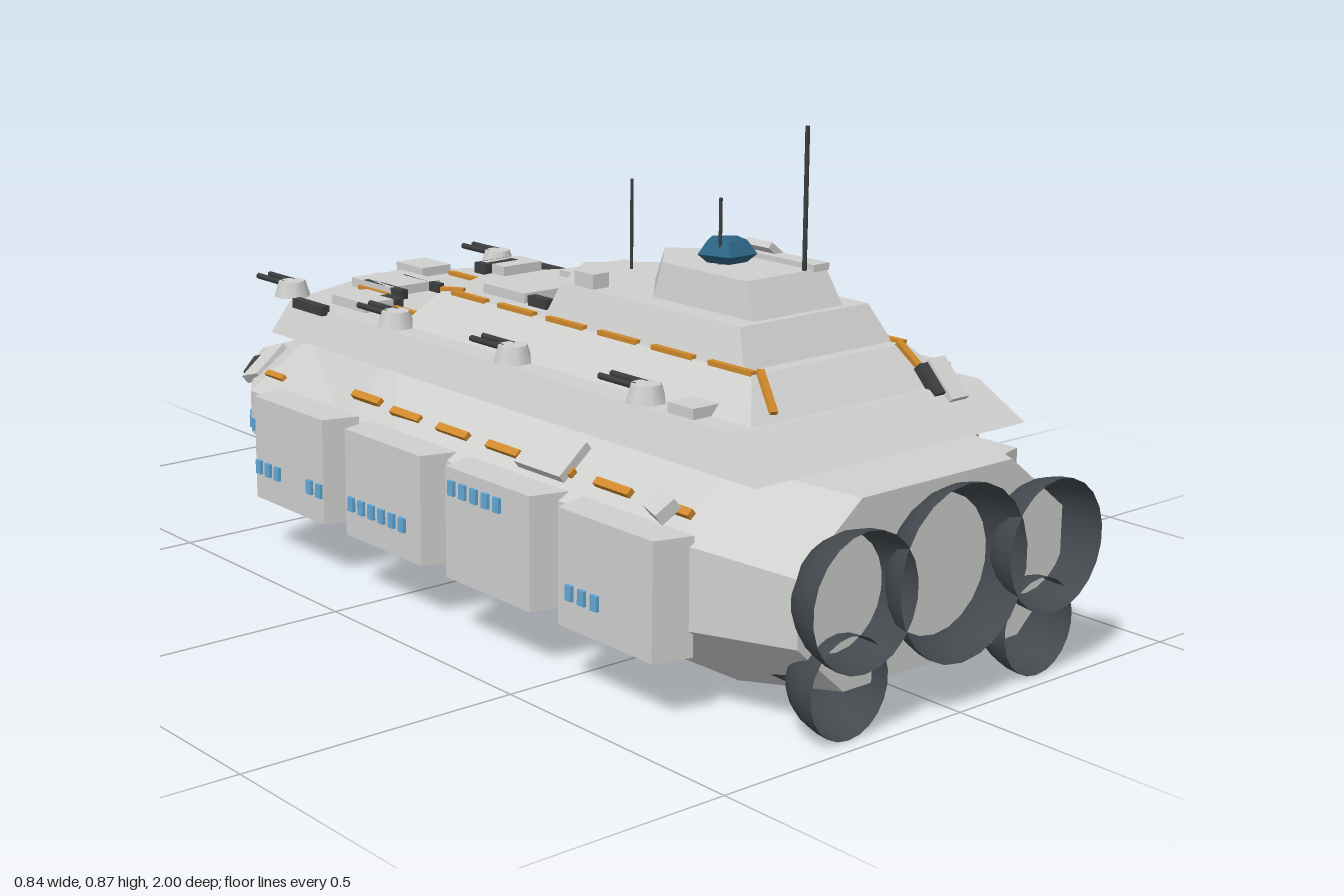
import * as THREE from 'three';

const material = (name, color) => {
  const m = new THREE.MeshStandardMaterial({ color, side: THREE.DoubleSide });
  m.name = name;
  return m;
};

// Skin a list of equal-length rings and cap both ends, with flat faces
function loft(rings) {
  const pos = [];
  const tri = (...pts) => pts.forEach((p) => pos.push(...p));
  const n = rings[0].length;
  for (let s = 0; s < rings.length - 1; s++) {
    const a = rings[s], b = rings[s + 1];
    for (let i = 0; i < n; i++) {
      const j = (i + 1) % n;
      tri(a[i], a[j], b[j]);
      tri(a[i], b[j], b[i]);
    }
  }
  const first = rings[0], last = rings[rings.length - 1];
  for (let i = 1; i < n - 1; i++) {
    tri(first[0], first[i + 1], first[i]);
    tri(last[0], last[i], last[i + 1]);
  }
  const g = new THREE.BufferGeometry();
  g.setAttribute('position', new THREE.Float32BufferAttribute(pos, 3));
  g.computeVertexNormals();
  return g;
}

// Octagonal hull section: top edge, upper knuckle, lower knuckle, keel edge
const hullRing = (z, ax, ay, bx, by, cy, dx, dy) => {
  const half = [[dx, dy, z], [bx, cy, z], [bx, by, z], [ax, ay, z]];
  return [...half, ...half.map(([x, y]) => [-x, y, z]).reverse()];
};

// Deck outline with a pointed front
const deckRing = (y, w, rear, corner, tip) =>
  [[-w, y, rear], [w, y, rear], [w, y, corner], [0, y, tip], [-w, y, corner]];

export function createModel() {
  const root = new THREE.Group();
  root.name = 'ship';
  const hull = material('hull grey', 0xcfcfce);
  const engine = material('engine', 0x43494e);
  const dark = material('dark metal', 0x3c3e40);
  const orange = material('orange pipe', 0xd08a2c);
  const glass = material('window blue', 0x62a8d6);
  const bridge = material('bridge blue', 0x2c6484);
  bridge.flatShading = true;

  const add = (name, geo, mat, x, y, z, rx = 0, ry = 0, rz = 0) => {
    const m = new THREE.Mesh(geo, mat);
    m.name = name;
    m.position.set(x, y, z);
    m.rotation.set(rx, ry, rz);
    root.add(m);
  };
  const box = (name, mat, w, h, l, ...place) => add(name, new THREE.BoxGeometry(w, h, l), mat, ...place);
  const rod = (name, r, len, ...place) => add(name, new THREE.CylinderGeometry(r, r, len, 6), dark, ...place);

  // Main hull, bow to stern
  add('hull', loft([
    hullRing(-1, 0.015, 0.225, 0.035, 0.21, 0.185, 0.015, 0.175),
    hullRing(-0.64, 0.13, 0.33, 0.27, 0.24, 0.155, 0.12, 0.08),
    hullRing(-0.2, 0.22, 0.388, 0.345, 0.28, 0.16, 0.2, 0.04),
    hullRing(0, 0.24, 0.39, 0.37, 0.29, 0.16, 0.22, 0.02),
    hullRing(0.73, 0.24, 0.39, 0.365, 0.29, 0.15, 0.22, 0.03),
    hullRing(0.94, 0.17, 0.372, 0.3, 0.27, 0.16, 0.2, 0.07),
  ]), hull, 0, 0, 0);

  // Four stacked decks
  const deck = (name, bottom, top) => add(name, loft([deckRing(...bottom), deckRing(...top)]), hull, 0, 0, 0);
  deck('mainDeck', [0.39, 0.305, 0.85, -0.5, -0.64], [0.453, 0.28, 0.77, -0.47, -0.59]);
  deck('secondDeck', [0.453, 0.232, 0.76, -0.17, -0.27], [0.516, 0.175, 0.7, -0.12, -0.2]);
  deck('thirdDeck', [0.516, 0.168, 0.675, 0.17, 0.04], [0.578, 0.145, 0.64, 0.19, 0.075]);
  deck('commandDeck', [0.578, 0.1, 0.625, 0.38, 0.27], [0.638, 0.09, 0.595, 0.39, 0.295]);

  // Bridge dome, dish and masts
  const dome = [[0.035, 0], [0.053, 0.015], [0.035, 0.038], [0, 0.041]].map(([r, y]) => new THREE.Vector2(r, y));
  add('bridgeDome', new THREE.LatheGeometry(dome, 5), bridge, 0, 0.638, 0.45, 0, Math.PI, 0);
  box('mastDish', hull, 0.06, 0.012, 0.06, 0.087, 0.645, 0.46, 0, 0, -0.65);
  rod('tallMast', 0.004, 0.24, 0.045, 0.757, 0.59);
  rod('bridgeMast', 0.003, 0.112, -0.028, 0.694, 0.465);
  rod('forwardMast', 0.003, 0.17, 0.027, 0.655, 0.175);

  // Engine bells, opening to the rear
  const bell = (x, y, r, rear, depth) => {
    const pts = [new THREE.Vector2(0, 0)];
    for (let i = 1; i <= 7; i++) {
      const a = (i / 7) * Math.PI / 2;
      pts.push(new THREE.Vector2(r * Math.sin(a), depth * (1 - Math.cos(a))));
    }
    add('engineBell', new THREE.LatheGeometry(pts, 22), engine, x, y, rear - depth, Math.PI / 2);
    rod('engineMount', r * 0.35, 0.1, x, y, rear - depth - 0.03, Math.PI / 2);
  };
  bell(0, 0.232, 0.145, 1, 0.1);

  // Side pod with tapered outer end
  const podGeo = new THREE.BoxGeometry(0.068, 0.196, 0.265);
  const pp = podGeo.attributes.position;
  for (let i = 0; i < pp.count; i++) if (pp.getX(i) > 0) pp.setZ(i, pp.getZ(i) * 0.86);
  podGeo.computeVertexNormals();

  for (const s of [1, -1]) {
    bell(s * 0.217, 0.232, 0.112, 1, 0.115);
    bell(s * 0.217, 0.088, 0.083, 0.97, 0.11);

    // Pods, and twin-barrel turrets along the main deck
    for (let i = 0; i < 4; i++) {
      add('sidePod', podGeo, hull, s * 0.382, 0.206, 0.63 - i * 0.301, 0, s > 0 ? 0 : Math.PI);
      const z = 0.535 - i * 0.348;
      add('turretBase', new THREE.CylinderGeometry(0.026, 0.035, 0.03, 8), hull, s * 0.25, 0.468, z, 0, Math.PI / 8);
      for (const dx of [-0.013, 0.013])
        rod('turretBarrel', 0.006, 0.09, s * 0.25 + dx, 0.478, z - 0.055, Math.PI / 2);
    }

    // Window rows on the pods, then on the bow
    const windows = (z, y, count) => {
      for (let i = 0; i < count; i++)
        box('podWindow', glass, 0.008, 0.026, 0.016, s * 0.418, y, z - i * 0.031);
    };
    windows(0.61, 0.17, 3);
    windows(0.36, 0.27, 5);
    windows(0.09, 0.17, 6);
    windows(-0.17, 0.17, 2);
    windows(-0.31, 0.17, 3);
    for (let i = 0; i < 6; i++) {
      const z = -0.53 - i * 0.031;
      const slope = z > -0.64 ? 0.17 : 0.653;
      box('bowWindow', glass, 0.008, 0.024, 0.016, s * (0.27 + (z + 0.64) * slope), 0.175, z, 0, s * Math.atan(slope));
    }

    // Broken pipe runs on the shoulders and the second deck
    for (let i = 0; i < 7; i++) {
      const z = 0.69 - i * 0.143;
      box('shoulderPipe', orange, 0.014, 0.012, 0.085, s * (0.327 + Math.min(0, z) * 0.1), 0.326, z, 0, 0, -s * 0.7);
    }
    for (let i = 0; i < 6; i++)
      box('deckPipe', orange, 0.012, 0.01, 0.1, s * 0.171, 0.517, 0.65 - i * 0.138);
    box('deckPipeBend', orange, 0.012, 0.01, 0.045, s * 0.158, 0.517, -0.11, 0, -s * 0.6);
    box('rearPipe', orange, 0.013, 0.012, 0.08, s * 0.167, 0.492, 0.725, 0.8, s * 0.25);
    box('foredeckPipe', orange, 0.012, 0.01, 0.08, s * 0.17, 0.456, -0.24);
    box('foredeckPipe', orange, 0.012, 0.01, 0.1, s * 0.11, 0.456, -0.43);
    box('bowPipe', orange, 0.012, 0.012, 0.1, s * 0.105, 0.323, -0.68, -0.28, s * 0.25);
    box('bowPipe', orange, 0.012, 0.012, 0.09, s * 0.235, 0.272, -0.6, -0.1, s * 0.2, -s * 0.6);
    box('edgeBar', dark, 0.018, 0.018, 0.1, s * 0.285, 0.456, -0.39);

    // Shoulder hatches
    box('shoulderHatch', hull, 0.075, 0.016, 0.12, s * 0.318, 0.342, s > 0 ? 0.04 : 0.38, 0, 0, -s * 0.7);
    box('shoulderHatch', hull, 0.04, 0.022, 0.05, s * 0.342, 0.33, 0.68, 0.1, s * 0.3, -s * 0.7);
  }

  // Plates and fittings lying on the main deck and second deck
  const onDeck = (y, mat, x, z, w, l) => box(mat === hull ? 'deckPlate' : 'deckFitting', mat, w, 0.02, l, x, y + 0.008, z);
  const onMain = (...p) => onDeck(0.453, ...p);
  const onSecond = (...p) => onDeck(0.516, ...p);
  onMain(hull, -0.05, -0.445, 0.12, 0.13);
  onMain(hull, -0.19, -0.345, 0.08, 0.11);
  onMain(hull, 0.085, -0.54, 0.07, 0.09);
  onMain(hull, 0.17, -0.34, 0.07, 0.12);
  onMain(hull, 0.25, 0.66, 0.05, 0.1);
  onMain(hull, -0.24, 0.64, 0.06, 0.06);
  onMain(dark, -0.1, -0.41, 0.016, 0.13);
  onMain(dark, -0.01, -0.41, 0.014, 0.12);
  onMain(dark, -0.155, -0.31, 0.02, 0.05);
  onMain(dark, 0.25, 0.33, 0.045, 0.04);
  onSecond(hull, -0.05, 0, 0.15, 0.12);
  onSecond(hull, 0.04, -0.19, 0.09, 0.07);
  onSecond(hull, 0.14, -0.05, 0.16, 0.04);
  onSecond(dark, 0.02, -0.21, 0.08, 0.035);
  onSecond(dark, 0.195, -0.045, 0.035, 0.04);
  onSecond(dark, 0.08, 0.04, 0.014, 0.1);
  onSecond(dark, -0.12, 0.1, 0.018, 0.05);
  box('sensorBox', hull, 0.035, 0.026, 0.05, -0.127, 0.592, 0.25);
  box('commandPlate', hull, 0.035, 0.012, 0.16, 0.075, 0.641, 0.52);

  // Tilted parts following the bow slope
  const onBow = (mat, x, z, w, l, yaw = 0) => {
    const flat = 0.13 + (z + 0.64) * 0.32;
    const over = Math.max(0, Math.abs(x) - flat);
    box(mat === hull ? 'bowPlate' : 'bowFitting', mat, w, 0.02, l,
      x, 0.336 + (z + 0.64) * 0.29 - over * 0.65, z, -0.28, yaw, over > 0 ? -Math.sign(x) * 0.6 : 0);
  };
  onBow(hull, 0.16, -0.61, 0.11, 0.12);
  onBow(hull, 0, -0.72, 0.07, 0.06, 0.2);
  onBow(hull, -0.16, -0.76, 0.09, 0.06);
  onBow(hull, 0.06, -0.69, 0.05, 0.05);
  onBow(dark, -0.155, -0.79, 0.05, 0.05, 0.3);
  onBow(dark, 0.135, -0.77, 0.025, 0.12, 0.35);
  onBow(dark, -0.055, -0.74, 0.014, 0.1);
  onBow(dark, -0.02, -0.66, 0.02, 0.07);

  // Stern slope fittings
  box('sternPlate', hull, 0.04, 0.025, 0.08, 0.2, 0.46, 0.765, 0.8);
  box('sternFitting', dark, 0.025, 0.03, 0.06, 0.172, 0.46, 0.755, 0.8);

  return root;
}
